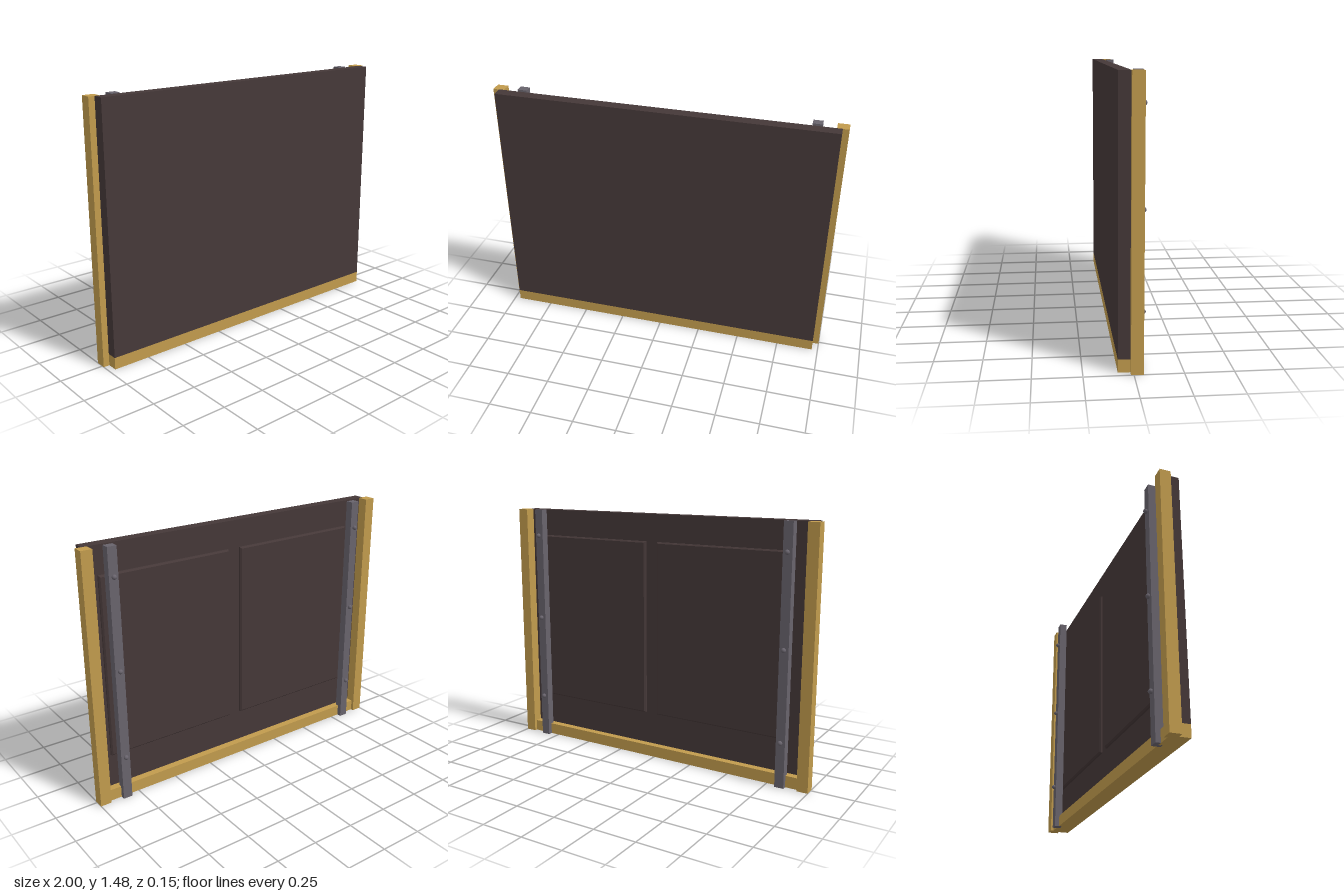
import * as THREE from 'three';

const HEIGHT = 1.475;

export function createModel() {
  const group = new THREE.Group();
  group.name = 'framedBoard';

  const brass = new THREE.MeshStandardMaterial({ name: 'brass', color: 0xc19b4d });
  const darkWood = new THREE.MeshStandardMaterial({ name: 'dark wood', color: 0x453838 });
  const steel = new THREE.MeshStandardMaterial({ name: 'grey steel', color: 0x68636c });

  const add = (name, geometry, material) => {
    const mesh = new THREE.Mesh(geometry, material);
    mesh.name = name;
    group.add(mesh);
    return mesh;
  };

  // Box given by its lower and upper bounds on each axis
  const box = (name, material, [x0, x1], [y0, y1], [z0, z1]) =>
    add(name, new THREE.BoxGeometry(x1 - x0, y1 - y0, z1 - z0), material)
      .position.set((x0 + x1) / 2, (y0 + y1) / 2, (z0 + z1) / 2);

  // Main board standing on the bottom rail
  box('board', darkWood, [-0.965, 0.965], [0.068, HEIGHT], [0.013, 0.077]);
  box('bottomRail', brass, [-0.965, 0.965], [0, 0.068], [-0.03, 0.077]);

  // Two raised panels with chamfered edges on the back
  const bevel = 0.008;
  const raisedPanel = (name, x0, x1) => {
    const y0 = 0.265, y1 = 1.315;
    const shape = new THREE.Shape([
      new THREE.Vector2(x0 + bevel, y0 + bevel),
      new THREE.Vector2(x1 - bevel, y0 + bevel),
      new THREE.Vector2(x1 - bevel, y1 - bevel),
      new THREE.Vector2(x0 + bevel, y1 - bevel),
    ]);
    const geometry = new THREE.ExtrudeGeometry(shape, {
      depth: 0.01, bevelEnabled: true, bevelSize: bevel, bevelThickness: bevel, bevelSegments: 1,
    });
    add(name, geometry, darkWood).position.z = 0.003;
  };
  raisedPanel('rightRaisedPanel', -0.81, 0);
  raisedPanel('leftRaisedPanel', 0.08, 0.89);

  // Side posts, back straps and rivets, mirrored
  const rivet = new THREE.SphereGeometry(0.0135, 16, 12);
  for (const [side, s] of [['left', 1], ['right', -1]]) {
    const span = (a, b) => (s > 0 ? [a, b] : [-b, -a]);
    box(side + 'Post', brass, span(0.935, 1), [0, HEIGHT], [-0.048, 0.015]);
    box(side + 'Strap', steel, span(0.807, 0.861), [0, HEIGHT], [-0.057, -0.01]);
    for (const y of [0.265, 0.79, 1.315]) {
      add(side + 'Rivet', rivet, steel).position.set(s * 0.834, y, -0.0635);
    }
  }

  return group;
}
